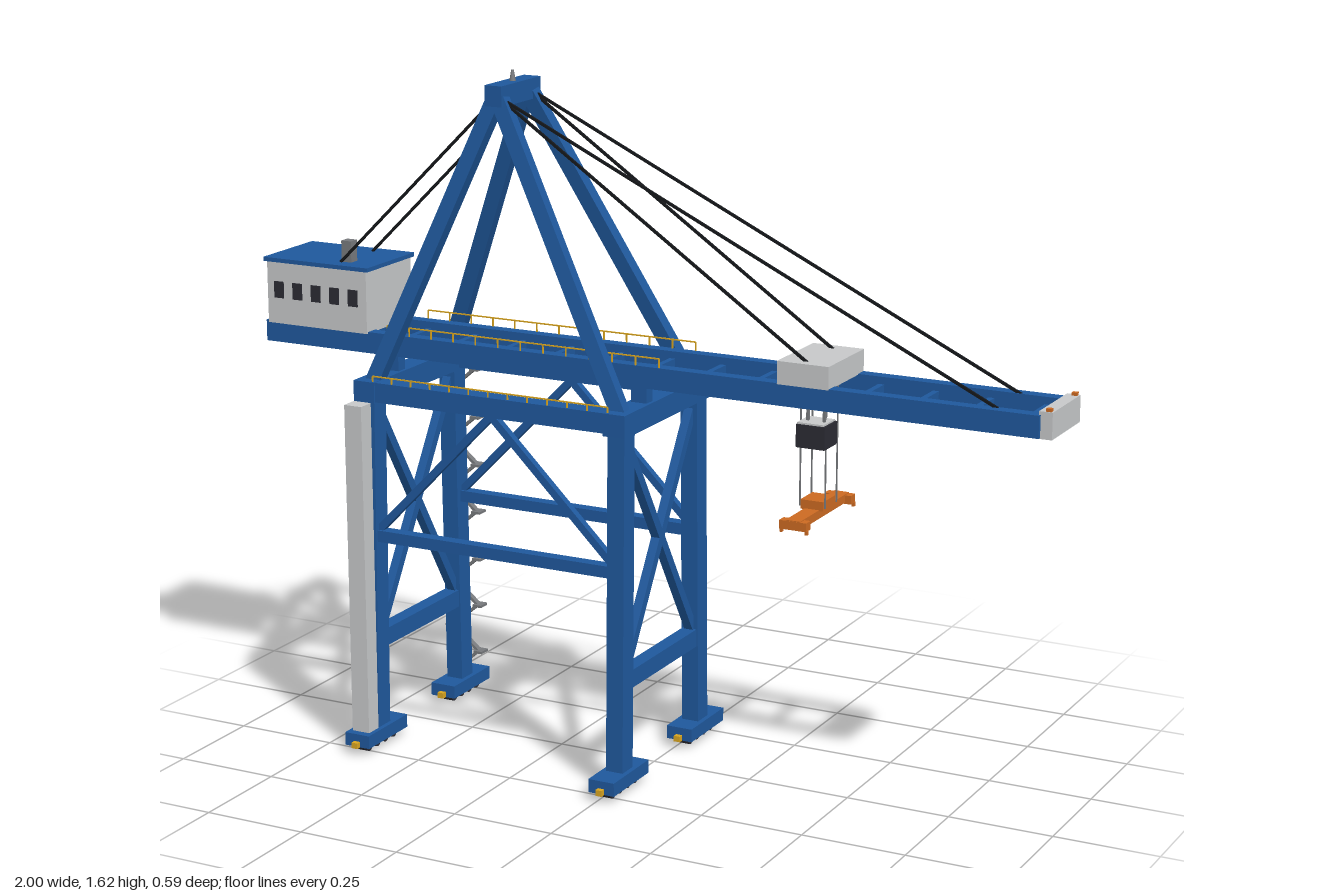
import * as THREE from 'three';

const mat = (name, color, extra = {}) => Object.assign(new THREE.MeshStandardMaterial({ color, ...extra }), { name });

export function createModel() {
  const crane = new THREE.Group();
  crane.name = 'harbourCrane';
  const blue = mat('steelBlue', 0x1f589c), pale = mat('paleGrey', 0xc6c8c9), dark = mat('darkGlass', 0x2b2b33),
    orange = mat('spreaderOrange', 0xcc6a22), yellow = mat('safetyYellow', 0xd9a520),
    grey = mat('midGrey', 0x77797c), black = mat('cableBlack', 0x15171a);

  const add = (name, geo, material) => {
    const m = new THREE.Mesh(geo, material);
    m.name = name;
    crane.add(m);
    return m;
  };
  // Box given by its extents on each axis
  const box = (name, material, [x0, x1], [y0, y1], [z0, z1]) => {
    const m = add(name, new THREE.BoxGeometry(x1 - x0, y1 - y0, z1 - z0), material);
    m.position.set((x0 + x1) / 2, (y0 + y1) / 2, (z0 + z1) / 2);
    return m;
  };
  // Square bar between two points; "up" sets the direction of its height h
  const bar = (name, material, a, b, w, h = w, up = [1, 0, 0]) => {
    const p = new THREE.Vector3(...a), q = new THREE.Vector3(...b);
    const m = add(name, new THREE.BoxGeometry(w, h, p.distanceTo(q)), material);
    m.up.set(...up);
    m.position.copy(p).add(q).multiplyScalar(0.5);
    m.lookAt(q);
    return m;
  };
  const Z = [0, 0, 1], Y = [0, 1, 0];
  const backX = -0.65, frontX = 0.01, apexX = -0.365;

  // Portal legs, bogies, wheels and buffers
  for (const x of [backX, frontX]) {
    for (const s of [-1, 1]) {
      bar('portalLeg', blue, [x, 0.04, s * 0.194], [x, 0.88, s * 0.18], 0.05, 0.043);
      const zc = s * 0.197;
      box('bogie', blue, [x - 0.033, x + 0.033], [0.02, 0.052], [zc - 0.086, zc + 0.086]);
      for (let i = 0; i < 4; i++) {
        const wheel = add('wheel', new THREE.CylinderGeometry(0.012, 0.012, 0.03, 12), dark);
        wheel.rotation.z = Math.PI / 2;
        wheel.position.set(x, 0.014, zc + (i - 1.5) * 0.036);
      }
      for (const e of [-1, 1]) {
        const z = zc + e * 0.092;
        box('buffer', yellow, [x - 0.008, x + 0.008], [0.02, 0.034], [z - 0.007, z + 0.007]);
      }
      box('boomSupport', blue, [x - 0.02, x + 0.02], [0.895, 0.945], [s * 0.08 - 0.015, s * 0.08 + 0.015]);
      // Tower legs leaning in to the apex
      bar('towerLeg', blue, [x, 0.885, s * 0.175], [apexX, 1.575, s * 0.067], 0.03, 0.036);
      // Crossed braces between the legs
      bar('crossBrace', blue, [x, 0.28, s * 0.175], [x, 0.835, -s * 0.17], 0.022);
    }
    box('portalCrossBeam', blue, [x - 0.028, x + 0.028], [0.85, 0.903], [-0.216, 0.216]);
    box('lowerCrossBeam', blue, [x - 0.018, x + 0.018], [0.243, 0.286], [-0.18, 0.18]);
  }

  // Lengthwise portal frames with inclined braces
  for (const s of [-1, 1]) {
    const z = s * 0.19;
    box('portalSideBeam', blue, [backX, frontX], [0.855, 0.902], [z - 0.022, z + 0.022]);
    box('lowerSideBeam', blue, [backX, frontX], [0.513, 0.541], [z - 0.015, z + 0.015]);
    for (const x of [backX + 0.01, frontX])
      bar('sideBrace', blue, [x, 0.53, z], [-0.32, 0.855, z], 0.018, 0.018, Z);
  }

  // Tower head and beacon
  box('towerHead', blue, [apexX - 0.022, apexX + 0.022], [1.55, 1.598], [-0.09, 0.09]);
  const beacon = add('beacon', new THREE.CylinderGeometry(0.003, 0.008, 0.026, 8), grey);
  beacon.position.set(apexX, 1.61, 0);

  // Twin boom girders, cross ties and underside lamps
  for (const s of [-1, 1])
    box('boomGirder', blue, [-1, 0.97], [0.938, 0.989], [s * 0.08 - 0.015, s * 0.08 + 0.015]);
  for (let i = 0; i < 15; i++) {
    const x = 0.93 - i * 0.131;
    box('boomTie', blue, [x - 0.007, x + 0.007], [0.95, 0.972], [-0.07, 0.07]);
    if (x < 0.05) box('lamp', grey, [x - 0.009, x + 0.009], [0.926, 0.95], [-0.004, 0.004]);
  }
  box('boomTip', pale, [0.966, 0.997], [0.936, 0.997], [-0.086, 0.086]);
  for (const s of [-1, 1])
    box('tipLight', orange, [0.981, 0.993], [0.997, 1.004], [s * 0.078 - 0.006, s * 0.078 + 0.006]);

  // Handrails along the boom and on the portal
  const rail = (name, x0, x1, y, h, z, n) => {
    bar(name, yellow, [x0, y + h, z], [x1, y + h, z], 0.003, 0.003, Y);
    for (let i = 0; i <= n; i++) {
      const x = x0 + ((x1 - x0) * i) / n;
      bar(name + 'Post', yellow, [x, y, z], [x, y + h, z], 0.003);
    }
  };
  for (const s of [-1, 1]) {
    rail('boomRail', -0.66, 0.06, 0.988, 0.022, s * 0.092, 12);
    rail('portalRail', -0.63, -0.01, 0.9, 0.016, s * 0.208, 12);
  }

  // Machinery house with roof, windows and exhaust
  box('machineryHouse', pale, [-0.99, -0.712], [0.985, 1.137], [-0.1, 0.1]);
  box('houseRoof', blue, [-0.997, -0.705], [1.135, 1.145], [-0.105, 0.105]);
  for (let i = 0; i < 5; i++) {
    const x = -0.957 + i * 0.052;
    box('houseWindow', dark, [x - 0.013, x + 0.013], [1.048, 1.088], [0.098, 0.103]);
  }
  box('exhaust', grey, [-0.8, -0.773], [1.14, 1.196], [0.04, 0.066]);

  // Stay cables
  for (const s of [-1, 1])
    for (const [x, y] of [[-0.8, 1.145], [0.42, 1.035], [0.87, 0.985]])
      bar('stayCable', black, [apexX, 1.572, s * 0.07], [x, y, s * 0.07], 0.006, 0.006, Z);

  // Trolley, cab and its hangers
  box('trolley', pale, [0.355, 0.48], [0.987, 1.04], [-0.096, 0.096]);
  box('cab', pale, [0.406, 0.47], [0.855, 0.907], [0.036, 0.097]);
  box('cabSideGlass', dark, [0.405, 0.475], [0.852, 0.903], [0.096, 0.101]);
  box('cabFrontGlass', dark, [0.469, 0.475], [0.852, 0.903], [0.034, 0.1]);
  box('cabFloorGlass', dark, [0.406, 0.474], [0.85, 0.856], [0.036, 0.1]);
  for (const x of [0.42, 0.46])
    bar('cabHanger', grey, [x, 0.9, 0.07], [x, 0.99, 0.07], 0.006);

  // Spreader with head block, ropes and corner flippers
  box('spreader', orange, [0.397, 0.433], [0.67, 0.69], [-0.133, 0.133]);
  box('headBlock', orange, [0.387, 0.443], [0.688, 0.71], [-0.032, 0.032]);
  for (const s of [-1, 1]) {
    box('spreaderEnd', orange, [0.382, 0.448], [0.668, 0.688], [s * 0.122 - 0.012, s * 0.122 + 0.012]);
    for (const x of [0.385, 0.447]) {
      bar('hoistRope', grey, [x, 0.695, s * 0.031], [x, 0.99, s * 0.031], 0.003);
      box('twistLock', orange, [x - 0.003, x + 0.003], [0.66, 0.67], [s * 0.128 - 0.004, s * 0.128 + 0.004]);
    }
  }

  // Lift shaft on the front back-leg
  box('liftShaft', pale, [-0.674, -0.628], [0.05, 0.855], [0.222, 0.264]);

  // Zigzag stair on the opposite leg
  const flights = 13, rise = 0.79 / flights;
  for (let i = 0; i < flights; i++) {
    const y = 0.05 + i * rise, s = i % 2 ? -1 : 1;
    bar('stairFlight', grey, [backX - s * 0.036, y, -0.23], [backX + s * 0.036, y + rise, -0.23], 0.007, 0.014, Z);
    const x = backX + s * 0.04;
    box('stairLanding', grey, [x - 0.012, x + 0.012], [y + rise - 0.003, y + rise + 0.003], [-0.245, -0.214]);
  }
  return crane;
}
